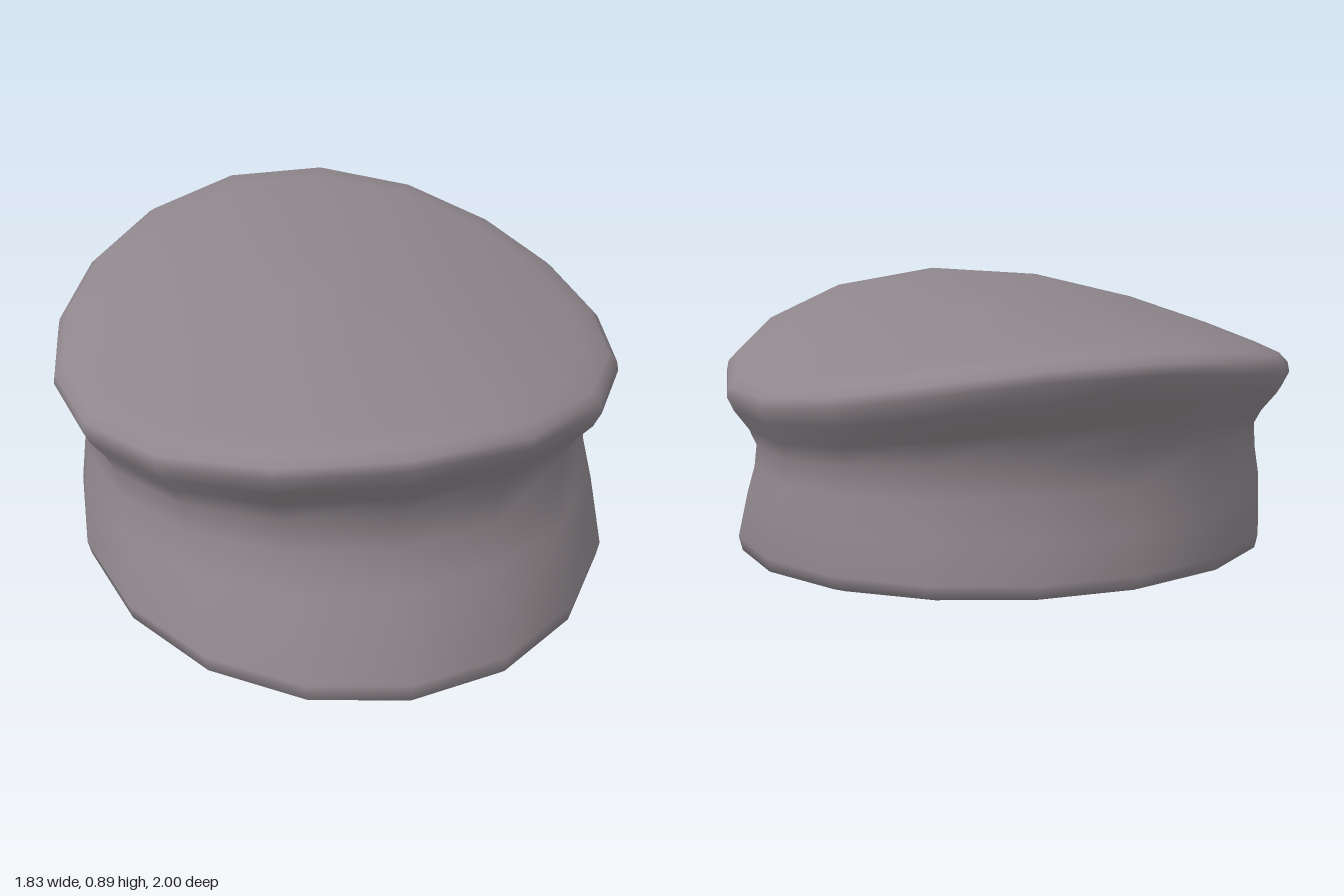
import * as THREE from 'three';

const SIDES = 17;
const TILT = 0.012; // slight sideways lean of the whole button
const material = new THREE.MeshStandardMaterial({ color: 0x8f878c, side: THREE.DoubleSide });

// Skin a list of elliptical rings [radiusX, radiusZ, centreZ, height(x, z), crowd];
// crowd draws the corners of a ring towards the back
function loft(name, rings) {
  const pos = [], index = [];
  rings.forEach(([rx, rz, cz, height, crowd = 0], r) => {
    for (let i = 0; i < SIDES; i++) {
      const u = (i / SIDES) * Math.PI * 2;
      const a = u + crowd * (0.09 * Math.sin(u) + 0.05 * Math.sin(2 * u));
      const x = rx * Math.sin(a), z = cz + rz * Math.cos(a);
      pos.push(x, height(x, z) - TILT * x, z);
      if (r === rings.length - 1) continue;
      const j = (i + 1) % SIDES, p = r * SIDES, q = p + SIDES;
      index.push(p + i, p + j, q + j, p + i, q + j, q + i);
    }
  });
  const geo = new THREE.BufferGeometry();
  geo.setAttribute('position', new THREE.Float32BufferAttribute(pos, 3));
  geo.setIndex(index);
  geo.computeVertexNormals();
  const mesh = new THREE.Mesh(geo, material);
  mesh.name = name;
  return mesh;
}

// Height rules: saddle-curved upper parts, slanted lower parts
const bowed = (y, bend, rise = 0) => (x, z) => y - bend * x * x + rise * z * z;
const slanted = (y, slope) => (x, z) => y - slope * z;
const level = (y) => () => y;

export function createModel() {
  const group = new THREE.Group();
  group.name = 'button';

  const bottomEdge = [0.81, 0.92, 0.045, slanted(0.078, 0.082)];
  const cavityEdge = [0.715, 0.765, -0.022, slanted(0.082, 0.082)];
  const ceilingEdge = [0.715, 0.765, -0.022, level(0.57)];

  // Flared skirt, waist, overhanging lip and saddle-shaped top
  const top = bowed(0.87, 0.205, 0.024);
  group.add(loft('outerShell', [
    bottomEdge,
    [0.858, 0.95, 0.047, slanted(0.098, 0.07)],
    [0.87, 0.953, 0.047, slanted(0.145, 0.06)],
    [0.848, 0.862, -0.01, bowed(0.32, 0.02), 0.2],
    [0.828, 0.82, -0.025, bowed(0.45, 0.07), 0.5],
    [0.823, 0.815, -0.025, bowed(0.565, 0.13), 0.8],
    [0.848, 0.862, -0.028, bowed(0.655, 0.17), 1],
    [0.895, 0.945, -0.033, bowed(0.75, 0.19), 1],
    [0.917, 0.98, -0.035, bowed(0.825, 0.215), 1],
    [0.911, 0.973, -0.035, bowed(0.857, 0.217), 1],
    [0.883, 0.938, -0.035, bowed(0.88, 0.22), 1],
    [0.8, 0.85, -0.033, top, 1],
    [0.6, 0.64, -0.03, top, 1],
    [0.4, 0.43, -0.02, top, 1],
    [0.2, 0.22, -0.01, top, 1],
    [0.001, 0.001, 0, top, 1],
  ]));

  // Slanted rim and the hollow underside
  group.add(loft('bottomRim', [cavityEdge, bottomEdge]));
  group.add(loft('cavityWall', [ceilingEdge, cavityEdge]));
  group.add(loft('cavityCeiling', [[0.001, 0.001, -0.022, level(0.57)], ceilingEdge]));

  // Round socket hanging from the ceiling
  const circle = (r, y) => [r, r, -0.022, level(y)];
  group.add(loft('socketBore', [circle(0.345, 0.57), circle(0.345, 0.35)]));
  group.add(loft('socketRim', [circle(0.345, 0.35), circle(0.445, 0.35)]));
  group.add(loft('socketWall', [circle(0.445, 0.35), circle(0.445, 0.57)]));

  return group;
}
